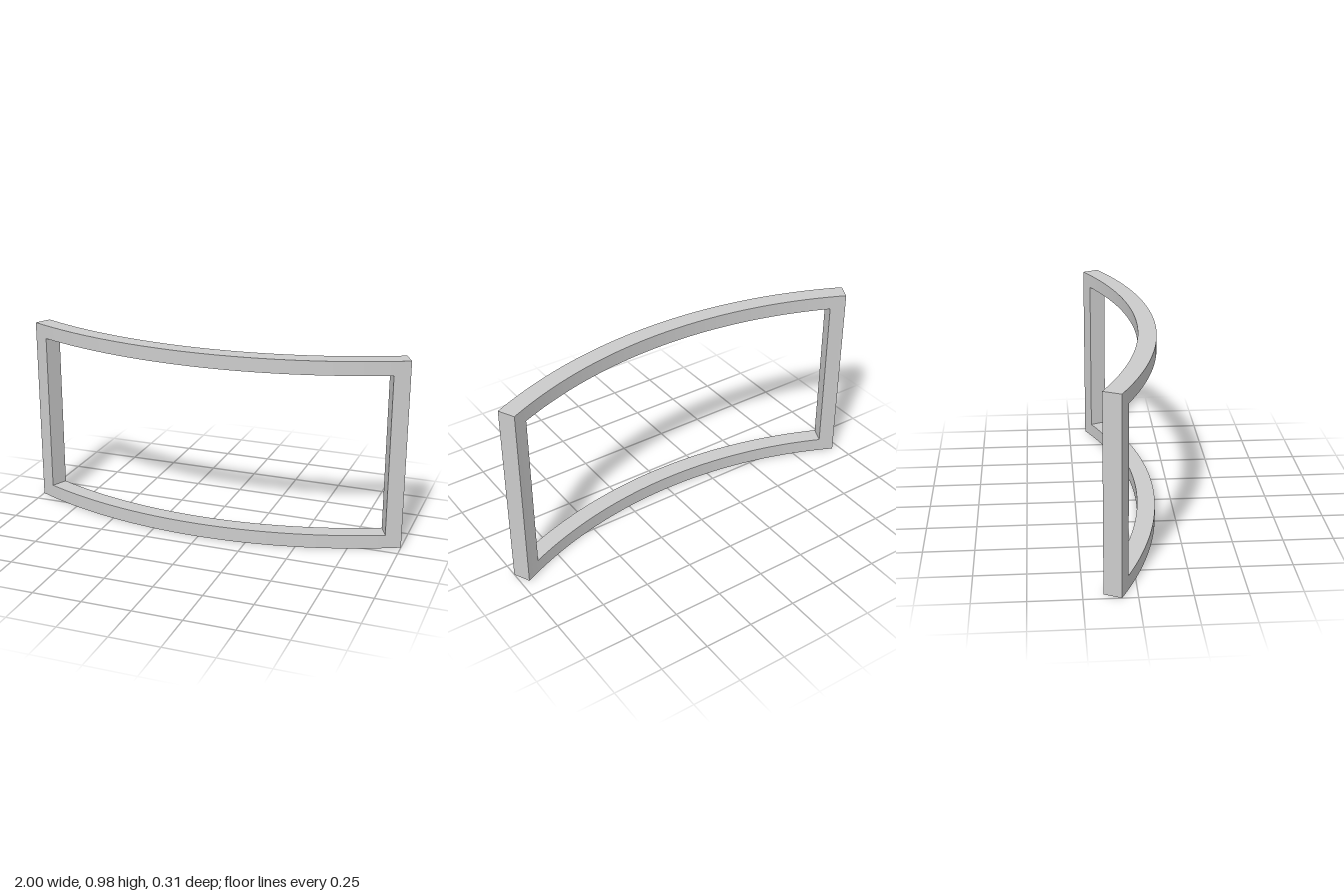
import * as THREE from 'three';
import { toCreasedNormals } from 'three/addons/utils/BufferGeometryUtils.js';

const HEIGHT = 0.975, BAR = 0.071;
const OUTER = 2.271, INNER = 2.181;        // radii of the convex front and concave back
const CENTRE_Z = 0.157 - OUTER;            // axis of the curve, behind the frame
const END = Math.asin(1 / OUTER);          // half angle to the outer ends
const OPENING = Math.asin(0.925 / OUTER);  // half angle to the opening

// Upright curved bar between two angles (measured from +z towards +x)
function curvedBar(from, to, bottom, height, segments) {
  const a = from - Math.PI / 2, b = to - Math.PI / 2;
  const plan = new THREE.Shape();
  plan.absarc(0, 0, OUTER, a, b, false);
  plan.absarc(0, 0, INNER, b, a, true);
  const geometry = new THREE.ExtrudeGeometry(plan, {
    depth: height, bevelEnabled: false, curveSegments: segments,
  });
  geometry.rotateX(-Math.PI / 2);
  geometry.translate(0, bottom, CENTRE_Z);
  return toCreasedNormals(geometry, Math.PI / 6);
}

export function createModel() {
  const frame = new THREE.Group();
  frame.name = 'curvedFrame';
  const grey = new THREE.MeshStandardMaterial({ color: 0xcccccc });
  grey.name = 'light grey';

  const add = (name, geometry) => {
    const mesh = new THREE.Mesh(geometry, grey);
    mesh.name = name;
    frame.add(mesh);
  };

  // Full-width curved rails
  add('bottomRail', curvedBar(-END, END, 0, BAR, 64));
  add('topRail', curvedBar(-END, END, HEIGHT - BAR, BAR, 64));

  // Posts between the rails, cut radially
  add('leftPost', curvedBar(OPENING, END, BAR, HEIGHT - 2 * BAR, 4));
  add('rightPost', curvedBar(-END, -OPENING, BAR, HEIGHT - 2 * BAR, 4));

  return frame;
}
